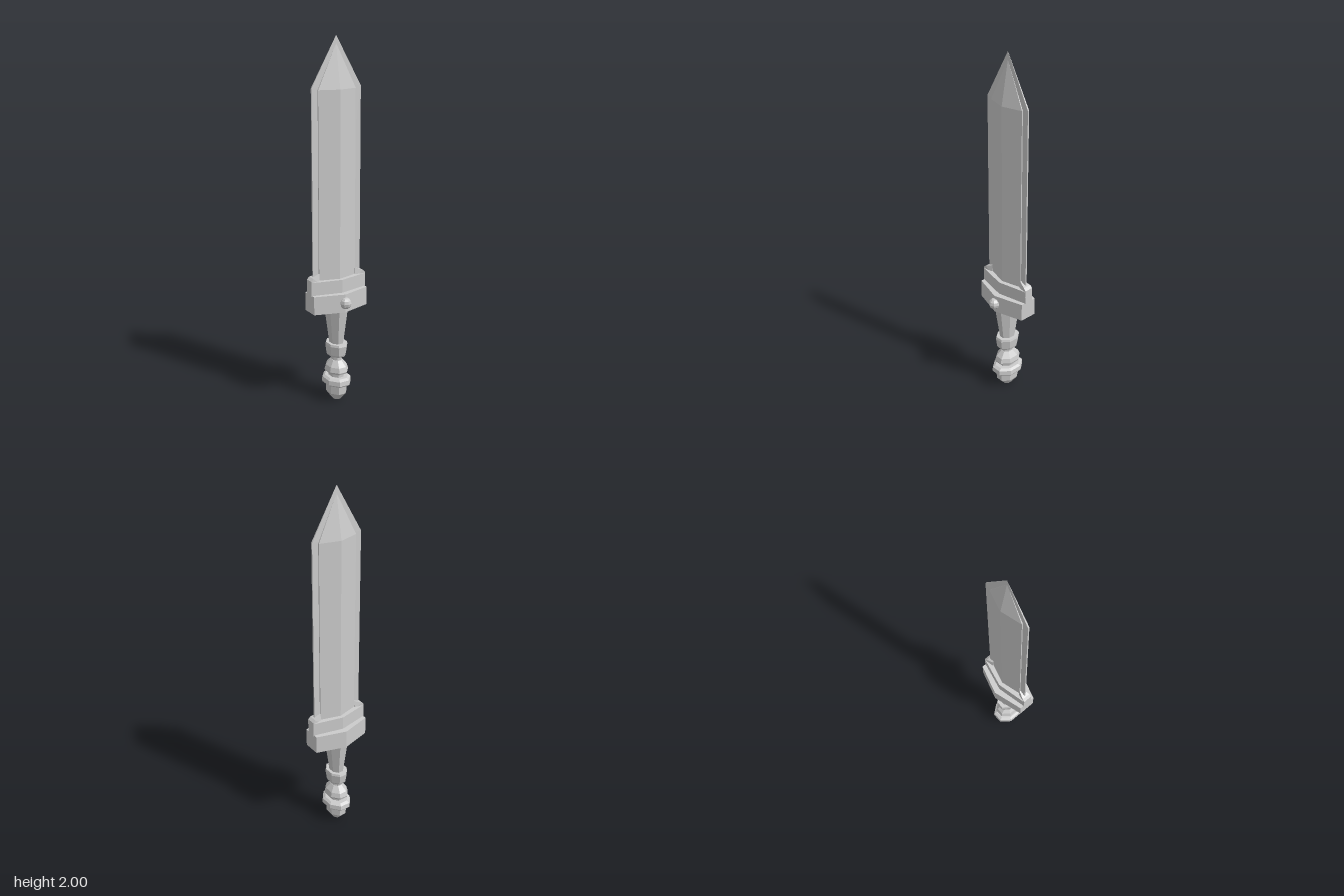
import * as THREE from 'three';
import { ConvexGeometry } from 'three/addons/geometries/ConvexGeometry.js';

const material = new THREE.MeshStandardMaterial({ color: 0xcccccc, flatShading: true });

function addPart(parent, name, geometry) {
  const mesh = new THREE.Mesh(geometry, material);
  mesh.name = name;
  parent.add(mesh);
  return mesh;
}

// Six-sided cross-section, thickest at x = 0 and flat at both ends
function hexSection(y, halfWidth, midDepth, endDepth) {
  return [
    [0, midDepth], [halfWidth, endDepth], [halfWidth, -endDepth],
    [0, -midDepth], [-halfWidth, -endDepth], [-halfWidth, endDepth],
  ].map(([x, z]) => new THREE.Vector3(x, y, z));
}

function hexPrism(y0, y1, halfWidth, midDepth, endDepth) {
  return new ConvexGeometry([
    ...hexSection(y0, halfWidth, midDepth, endDepth),
    ...hexSection(y1, halfWidth, midDepth, endDepth),
  ]);
}

// Raised end of the guard; side is +1 or -1
function earGeometry(side) {
  const rows = [ // x, y, half depth
    [0.112, 0.70, 0.018], [0.112, 0.755, 0.01],
    [0.155, 0.738, 0.024], [0.169, 0.725, 0.025], [0.169, 0.645, 0.025],
  ];
  return new ConvexGeometry(rows.flatMap(([x, y, d]) => [
    new THREE.Vector3(side * x, y, d), new THREE.Vector3(side * x, y, -d),
  ]));
}

// Eight-sided turned part, given as [half depth, y] from bottom to top
function turned(profile) {
  const points = profile.map(([r, y]) => new THREE.Vector2(r / Math.cos(Math.PI / 8), y));
  const geometry = new THREE.LatheGeometry(points, 8, Math.PI / 8);
  geometry.scale(0.79, 1, 1);
  return geometry;
}

export function createModel() {
  const model = new THREE.Group();
  model.name = 'shortSword';
  const sword = new THREE.Group();
  sword.name = 'sword';
  sword.position.z = -0.018;
  model.add(sword);

  // Blade: thick ridged core and a thin cutting edge around it
  addPart(sword, 'bladeCore', new ConvexGeometry([
    ...hexSection(0.68, 0.112, 0.041, 0.01),
    ...hexSection(1.73, 0.112, 0.041, 0.01),
    new THREE.Vector3(0, 1.96, 0),
  ]));
  addPart(sword, 'cuttingEdge', new ConvexGeometry([
    ...hexSection(0.68, 0.147, 0.004, 0.004),
    ...hexSection(1.74, 0.147, 0.004, 0.004),
    new THREE.Vector3(0, 2, 0),
  ]));

  // Two-tier guard with raised ends
  addPart(sword, 'lowerGuard', hexPrism(0.543, 0.645, 0.166, 0.097, 0.048));
  addPart(sword, 'upperGuard', hexPrism(0.64, 0.718, 0.168, 0.063, 0.025));
  for (const side of [1, -1]) {
    addPart(sword, side > 0 ? 'leftGuardEar' : 'rightGuardEar', earGeometry(side));
  }

  // Grip and pommel turned in one run of stepped profiles
  addPart(sword, 'grip', turned([[0.043, 0.33], [0.074, 0.55]]));
  addPart(sword, 'gripCollar', turned([
    [0, 0.265], [0.056, 0.265], [0.061, 0.275], [0.069, 0.328], [0.065, 0.34], [0, 0.34],
  ]));
  addPart(sword, 'neck', turned([[0.033, 0.22], [0.033, 0.27]]));
  addPart(sword, 'knob', turned([
    [0, 0.168], [0.07, 0.168], [0.074, 0.178], [0.066, 0.205], [0.036, 0.238], [0, 0.238],
  ]));
  addPart(sword, 'pommelNeck', turned([[0.048, 0.13], [0.048, 0.172]]));
  addPart(sword, 'pommelDisc', turned([
    [0, 0.1], [0.086, 0.1], [0.091, 0.107], [0.088, 0.132], [0.072, 0.142], [0, 0.142],
  ]));
  addPart(sword, 'pommelCap', turned([
    [0, 0], [0.026, 0], [0.064, 0.045], [0.067, 0.105],
  ]));

  // Round stud on the front of the guard
  const stud = addPart(model, 'guardStud', new THREE.SphereGeometry(0.032, 8, 6));
  stud.position.set(0, 0.596, 0.08);

  return model;
}
